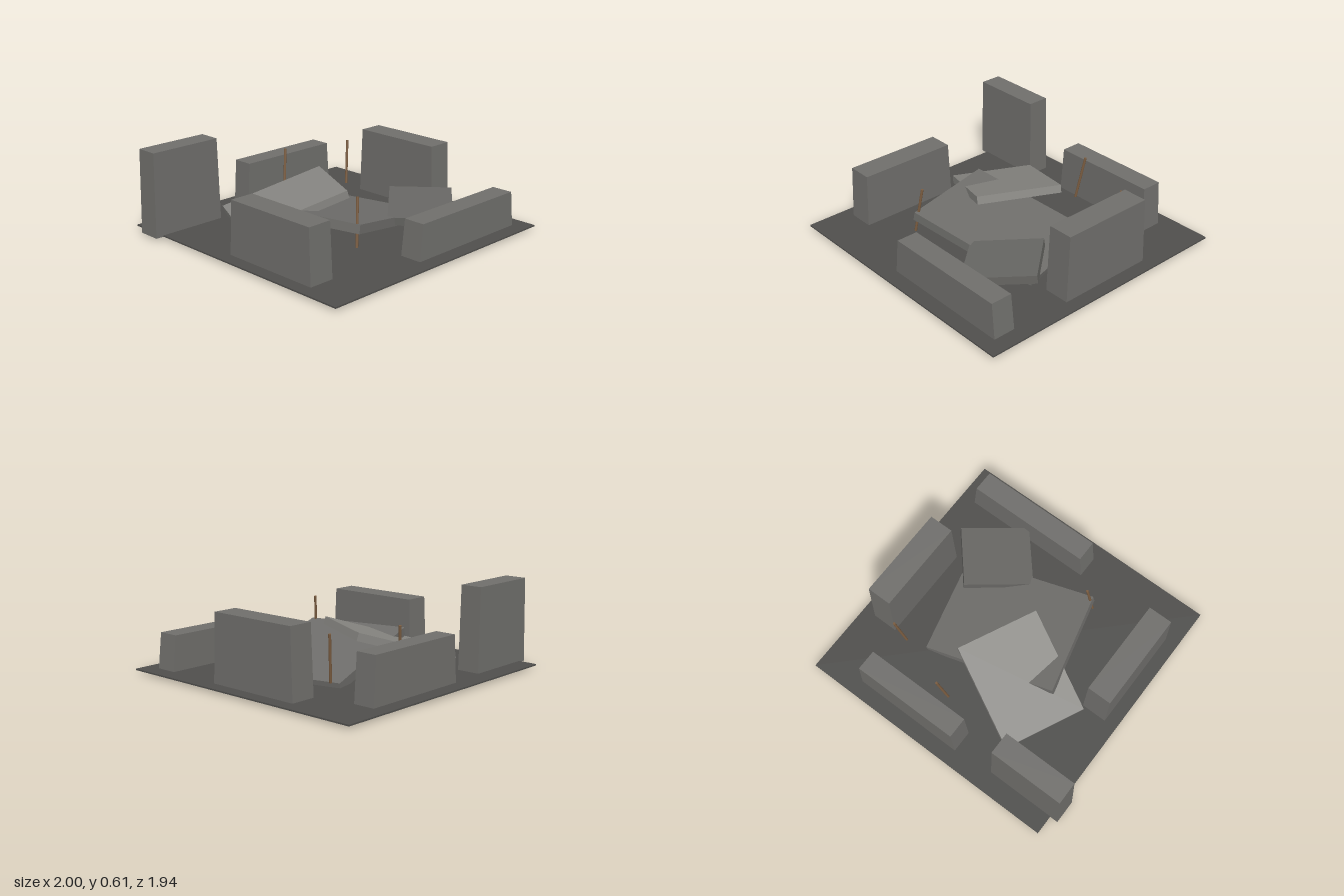
import * as THREE from 'three';

const V = (p) => new THREE.Vector3(...p);
const paint = (color) => new THREE.MeshStandardMaterial({ color, flatShading: true });

const groundStone = paint(0x4f4e4c);
const wallStone = paint(0x6f6e6b);
const paleStone = paint(0x868581);
const midStone = paint(0x6e6d6a);
const darkStone = paint(0x666562);
const rust = new THREE.MeshStandardMaterial({ color: 0x7a5c40 });

function addMesh(group, name, geometry, material) {
  const mesh = new THREE.Mesh(geometry, material);
  mesh.name = name;
  group.add(mesh);
  return mesh;
}

// Upright wall block standing on the ground, its top drawn in by (tx, tz) per side
function wall(group, name, [x0, x1], [z0, z1], top, tx, tz) {
  const base = 0.019, w = x1 - x0, d = z1 - z0;
  const geo = new THREE.BoxGeometry(w, top - base, d);
  const p = geo.attributes.position;
  for (let i = 0; i < p.count; i++) {
    if (p.getY(i) > 0) {
      p.setX(i, p.getX(i) * (1 - 2 * tx / w));
      p.setZ(i, p.getZ(i) * (1 - 2 * tz / d));
    }
  }
  geo.computeVertexNormals();
  addMesh(group, name, geo, wallStone).position.set((x0 + x1) / 2, (base + top) / 2, (z0 + z1) / 2);
}

// Tilted slab given by three corners of its top face
function slab(group, name, material, corner, along, across, thickness) {
  const a = V(corner), u = V(along).sub(a), w = V(across).sub(a);
  const centre = a.clone().addScaledVector(u, 0.5).addScaledVector(w, 0.5);
  const geo = new THREE.BoxGeometry(u.length(), thickness, w.length());
  geo.translate(0, -thickness / 2, 0);
  const x = u.clone().normalize();
  const y = w.clone().cross(u).normalize();
  const z = x.clone().cross(y);
  geo.applyMatrix4(new THREE.Matrix4().makeBasis(x, y, z).setPosition(centre));
  addMesh(group, name, geo, material);
}

// Thin leaning bar between two points
function rod(group, name, bottom, top) {
  const path = new THREE.LineCurve3(V(bottom), V(top));
  const mesh = addMesh(group, name, new THREE.CylinderGeometry(0.009, 0.009, path.getLength(), 16), rust);
  mesh.position.copy(path.getPoint(0.5));
  mesh.quaternion.setFromUnitVectors(new THREE.Vector3(0, 1, 0), path.getTangent(0));
}

export function createModel() {
  const group = new THREE.Group();
  group.name = 'ruin';

  // Ground plate
  addMesh(group, 'ground', new THREE.BoxGeometry(1.94, 0.01, 1.94), groundStone).position.set(0.029, 0.023, 0);

  // Broken walls around the edge
  wall(group, 'tallBackWall', [-1, -0.445], [-0.832, -0.668], 0.61, 0.013, 0.004);
  wall(group, 'backWall', [-0.157, 0.66], [-0.862, -0.708], 0.35, 0.02, 0.003);
  wall(group, 'leftWall', [0.72, 0.904], [-0.432, 0.277], 0.5, 0.004, 0.018);
  wall(group, 'rightWall', [-0.848, -0.665], [-0.077, 0.667], 0.405, 0.004, 0.016);
  wall(group, 'frontWall', [-0.083, 0.888], [0.703, 0.862], 0.275, 0.027, 0.003);

  // Fallen slabs
  slab(group, 'upperSlab', paleStone, [-0.437, 0.12, -0.655], [0.205, 0.34, -0.345], [-0.697, 0.12, -0.12], 0.055);
  slab(group, 'largeSlab', midStone, [-0.47, 0.25, -0.18], [0.453, 0.062, -0.405], [-0.29, 0.25, 0.54], 0.062);
  slab(group, 'smallSlab', darkStone, [0.122, 0.158, 0.395], [0.49, 0.222, 0.077], [0.402, 0.158, 0.73], 0.058);

  // Reinforcing bars
  rod(group, 'backRod', [0.1, 0.1, -0.603], [0.147, 0.42, -0.64]);
  rod(group, 'sideRod', [0.589, 0.1, -0.452], [0.633, 0.42, -0.485]);
  rod(group, 'frontRod', [-0.308, 0.095, 0.526], [-0.265, 0.42, 0.488]);

  return group;
}
